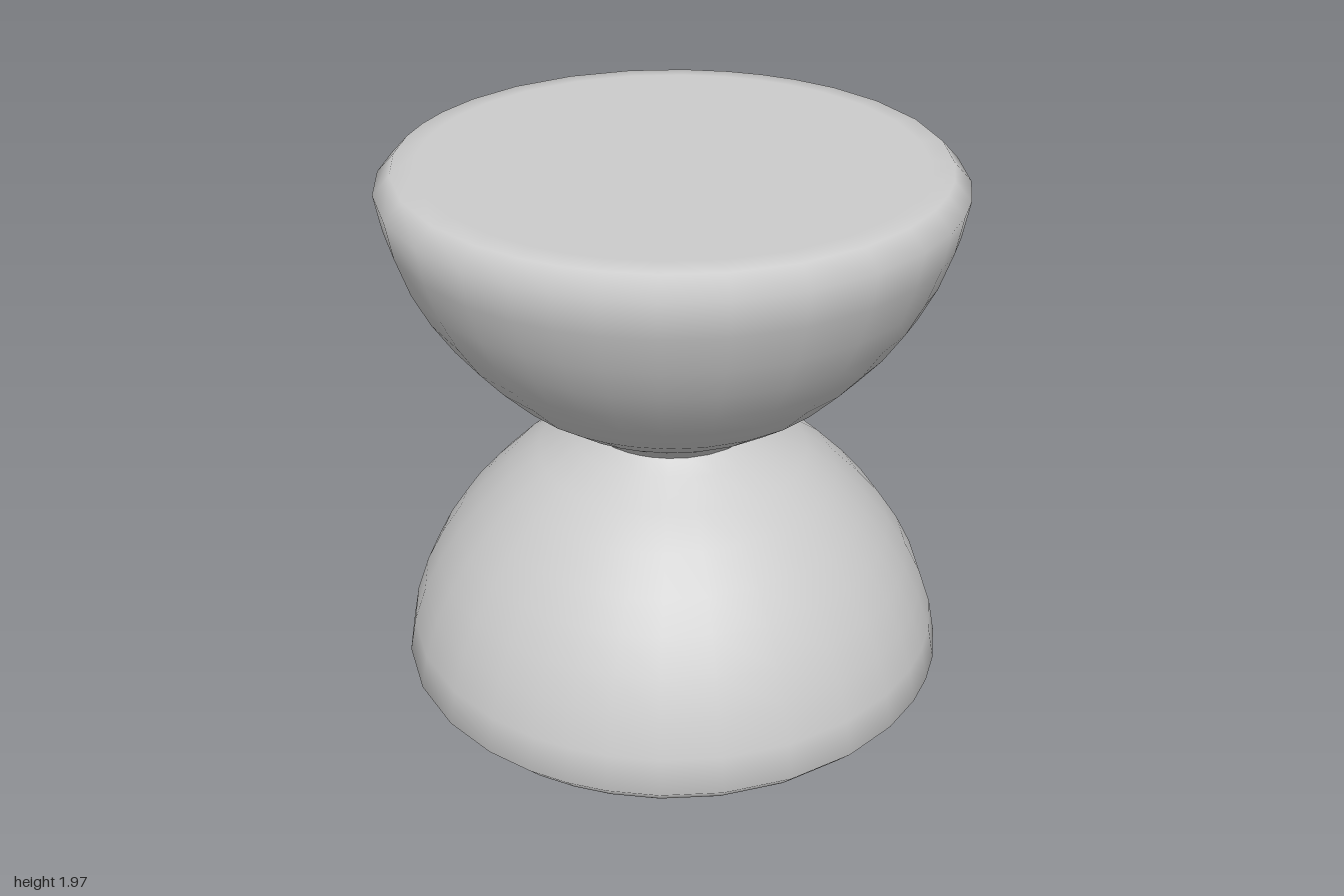
import * as THREE from 'three';

const MID = 0.985; // height of the waist
const SIDES = 32;

// Bowl outline: flat cap, bevelled rim, dome, flared neck
const profile = [
  [0, 0], [0.86, 0], [0.94, 0.005], [1, 0.07], [0.976, 0.2], [0.93, 0.335], [0.87, 0.455],
  [0.795, 0.57], [0.71, 0.67], [0.6, 0.783], [0.49, 0.862], [0.37, 0.935], [0.315, MID],
].map(([r, y]) => new THREE.Vector2(r, y));

// Spaces the sides like a square grid projected onto a circle
function gridAngle(angle) {
  const quarter = Math.round(angle / (Math.PI / 2)) * (Math.PI / 2);
  return quarter + Math.atan((angle - quarter) / (Math.PI / 4));
}

function makeBowlGeometry() {
  const geometry = new THREE.LatheGeometry(profile, SIDES);
  const { position, normal } = geometry.attributes;
  const up = new THREE.Vector3(0, 1, 0);
  const v = new THREE.Vector3();
  for (let i = 0; i < position.count; i++) {
    const angle = Math.floor(i / profile.length) / SIDES * Math.PI * 2;
    const turn = gridAngle(angle) - angle;
    for (const attribute of [position, normal]) {
      v.fromBufferAttribute(attribute, i).applyAxisAngle(up, turn);
      attribute.setXYZ(i, v.x, v.y, v.z);
    }
  }
  return geometry;
}

export function createModel() {
  const model = new THREE.Group();
  model.name = 'hourglassStool';
  const material = new THREE.MeshStandardMaterial({ color: 0xcccccc });
  const geometry = makeBowlGeometry();

  // Dome standing on its flat side
  const base = new THREE.Mesh(geometry, material);
  base.name = 'base';

  // The same dome turned over, meeting at the waist
  const seat = new THREE.Mesh(geometry, material);
  seat.name = 'seat';
  seat.rotation.x = Math.PI;
  seat.position.y = MID * 2;

  model.add(base, seat);
  return model;
}
